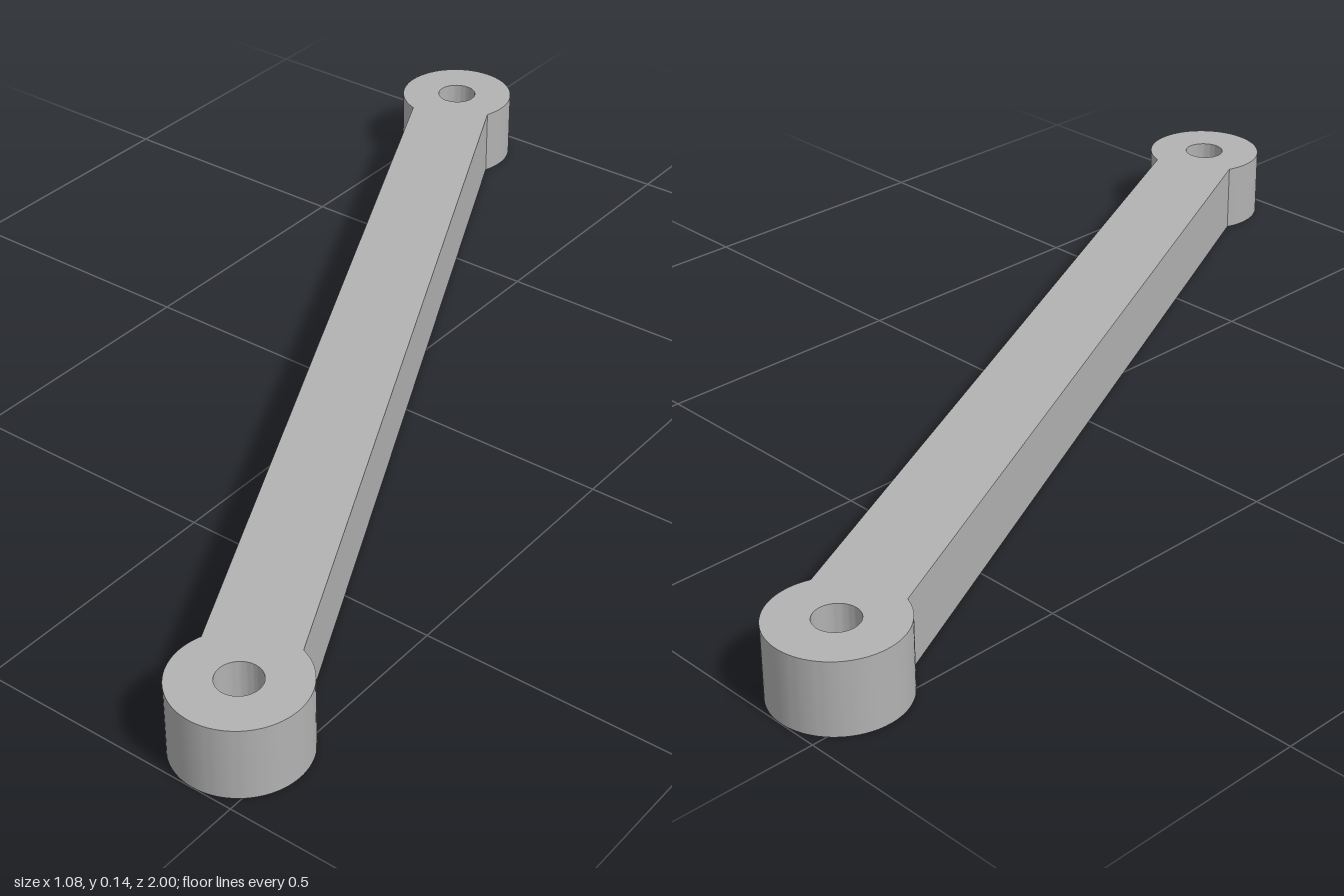
import * as THREE from 'three';
import { toCreasedNormals } from 'three/addons/utils/BufferGeometryUtils.js';

const HEIGHT = 0.135;
const EYE_X = 0.425, EYE_Z = 0.883; // centre of the front eye; the back one is opposite
const EYE_RADIUS = 0.1165, HOLE_RADIUS = 0.0395, BAR_HALF_WIDTH = 0.081;

export function createModel() {
  const group = new THREE.Group();
  group.name = 'linkArm';
  const grey = new THREE.MeshStandardMaterial({ color: 0xb2b2b2 });
  grey.name = 'grey metal';

  // Outline along x: a straight bar running into a round eye at each end
  const half = Math.hypot(EYE_X, EYE_Z);
  const joint = Math.asin(BAR_HALF_WIDTH / EYE_RADIUS);
  const outline = new THREE.Shape();
  outline.absarc(half, 0, EYE_RADIUS, joint - Math.PI, Math.PI - joint, false);
  outline.absarc(-half, 0, EYE_RADIUS, joint, 2 * Math.PI - joint, false);
  outline.closePath();

  // Pin holes through both eyes
  for (const side of [-1, 1]) {
    const hole = new THREE.Path();
    hole.absarc(side * half, 0, HOLE_RADIUS, 0, 2 * Math.PI, true);
    outline.holes.push(hole);
  }

  // Turn the bar to its diagonal, then lay it flat
  const solid = new THREE.ExtrudeGeometry(outline, { depth: HEIGHT, bevelEnabled: false, curveSegments: 32 });
  solid.rotateZ(-Math.atan2(EYE_Z, EYE_X));
  solid.rotateX(-Math.PI / 2);

  const arm = new THREE.Mesh(toCreasedNormals(solid, 0.4), grey);
  arm.name = 'armWithEyes';
  group.add(arm);
  return group;
}
